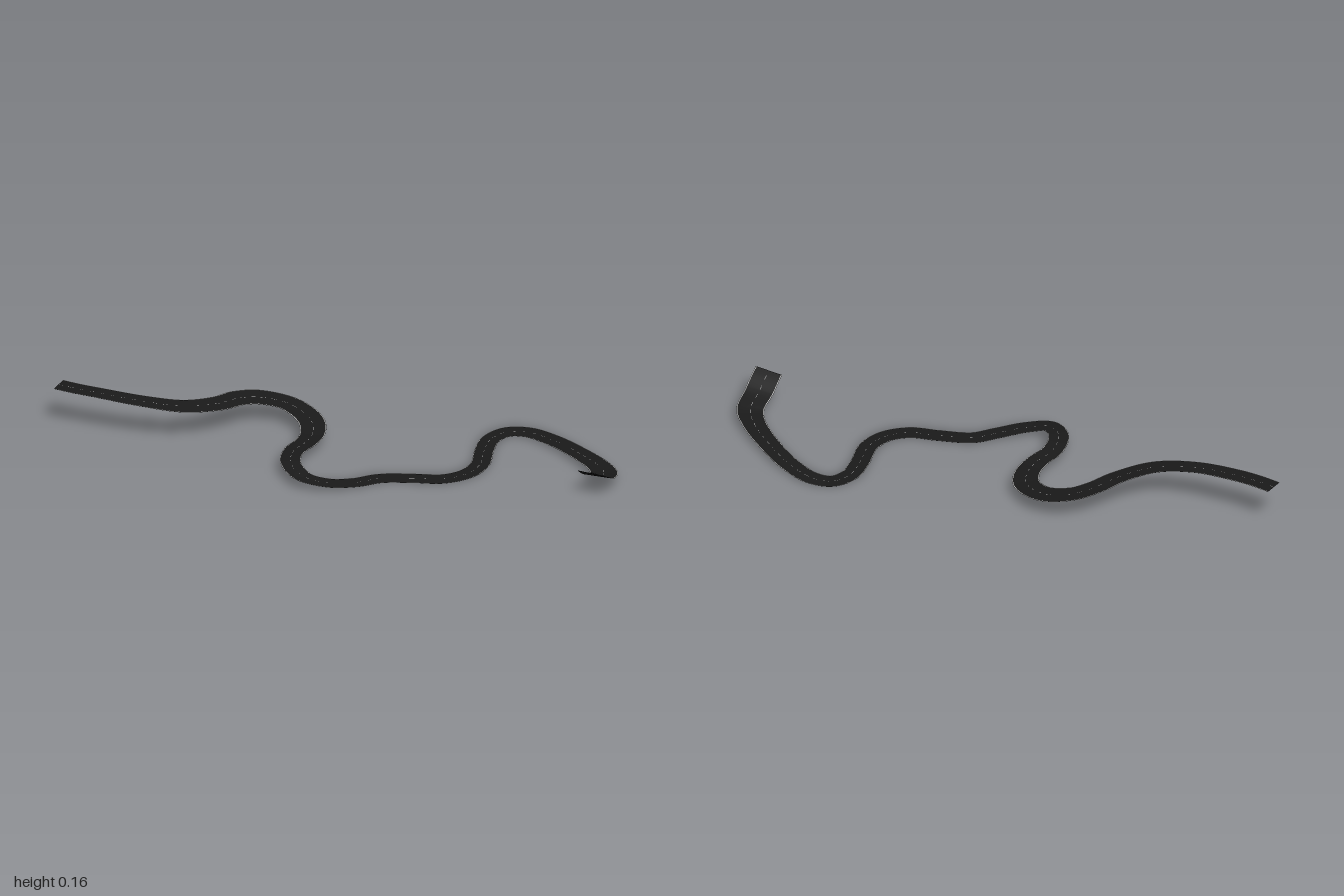
import * as THREE from 'three';

// Centreline stations: x, height, z, road width, sideways bank (slope)
const STATIONS = [
  [-1, 0.157, 0.327, 0.075], [-0.93, 0.157, 0.326, 0.075], [-0.85, 0.156, 0.318, 0.075],
  [-0.69, 0.147, 0.289, 0.077, -0.04], [-0.556, 0.13, 0.23, 0.085, -0.08],
  [-0.47, 0.112, 0.125, 0.09, -0.12], [-0.433, 0.102, 0.04, 0.095, -0.12],
  [-0.38, 0.088, -0.025, 0.1, -0.08], [-0.283, 0.07, -0.059, 0.1],
  [-0.18, 0.053, -0.02, 0.098], [-0.128, 0.045, 0.06, 0.09], [-0.118, 0.046, 0.14, 0.082],
  [-0.124, 0.048, 0.215, 0.077], [-0.09, 0.049, 0.307, 0.073], [-0.016, 0.037, 0.357, 0.073],
  [0.065, 0.018, 0.33, 0.071], [0.14, 0.004, 0.26, 0.07], [0.2, 0, 0.187, 0.07],
  [0.31, 0, 0.13, 0.07], [0.4, 0, 0.09, 0.07], [0.457, 0, 0.02, 0.07],
  [0.469, 0, -0.065, 0.07], [0.433, 0, -0.175, 0.07], [0.417, 0, -0.26, 0.07],
  [0.444, 0.001, -0.33, 0.072], [0.513, 0.004, -0.356, 0.075], [0.62, 0.009, -0.335, 0.077],
  [0.754, 0.018, -0.275, 0.08], [0.866, 0.028, -0.206, 0.088], [0.92, 0.037, -0.148, 0.1],
  [0.936, 0.063, -0.07, 0.108], [0.942, 0.096, -0.02, 0.11], [0.943, 0.11, 0, 0.11],
];
const STEPS = 480;

// Evenly spaced frames along the road: position, side vector, width
function sampleRoad() {
  const path = new THREE.CatmullRomCurve3(STATIONS.map(([x, y, z]) => new THREE.Vector3(x, y, z)));
  path.arcLengthDivisions = 1000;
  const sections = new THREE.SplineCurve(STATIONS.map(([, , , width, bank = 0]) => new THREE.Vector2(width, bank)));
  return Array.from({ length: STEPS + 1 }, (_, i) => {
    const t = path.getUtoTmapping(i / STEPS);
    const tangent = path.getTangent(t);
    const position = path.getPoint(t);
    position.y = Math.max(0, position.y);
    const section = sections.getPoint(t);
    const side = new THREE.Vector3(-tangent.z, 0, tangent.x).normalize();
    side.y = section.y;
    return { position, side, width: section.x };
  });
}

// Ribbon between two offsets (fractions of the width); keep(i) picks the drawn segments
function ribbon(frames, from, to, lift, keep = () => true) {
  const positions = [];
  const indices = [];
  frames.forEach(({ position, side, width }, i) => {
    for (const offset of [from, to]) {
      const p = position.clone().addScaledVector(side, offset * width);
      positions.push(p.x, p.y + lift, p.z);
    }
    if (i < frames.length - 1 && keep(i)) {
      const a = 2 * i;
      indices.push(a, a + 1, a + 2, a + 1, a + 3, a + 2);
    }
  });
  const geometry = new THREE.BufferGeometry();
  geometry.setAttribute('position', new THREE.Float32BufferAttribute(positions, 3));
  geometry.setIndex(indices);
  geometry.computeVertexNormals();
  return geometry;
}

export function createModel() {
  const group = new THREE.Group();
  group.name = 'windingRoad';
  const frames = sampleRoad();
  const add = (name, geometry, color, side) => {
    const mesh = new THREE.Mesh(geometry, new THREE.MeshStandardMaterial({ color, side }));
    mesh.name = name;
    group.add(mesh);
  };

  // Asphalt surface, visible from below as well
  add('asphalt', ribbon(frames, -0.5, 0.5, 0), 0x1a1a1a, THREE.DoubleSide);

  // Painted lines just above the asphalt
  add('rightEdgeLine', ribbon(frames, 0.465, 0.497, 0.0005), 0xcccccc, THREE.FrontSide);
  add('leftEdgeLine', ribbon(frames, -0.497, -0.465, 0.0005), 0xcccccc, THREE.FrontSide);
  add('centreDashes', ribbon(frames, -0.006, 0.006, 0.0005, (i) => i % 6 < 3), 0xbbbbbb, THREE.FrontSide);

  return group;
}
